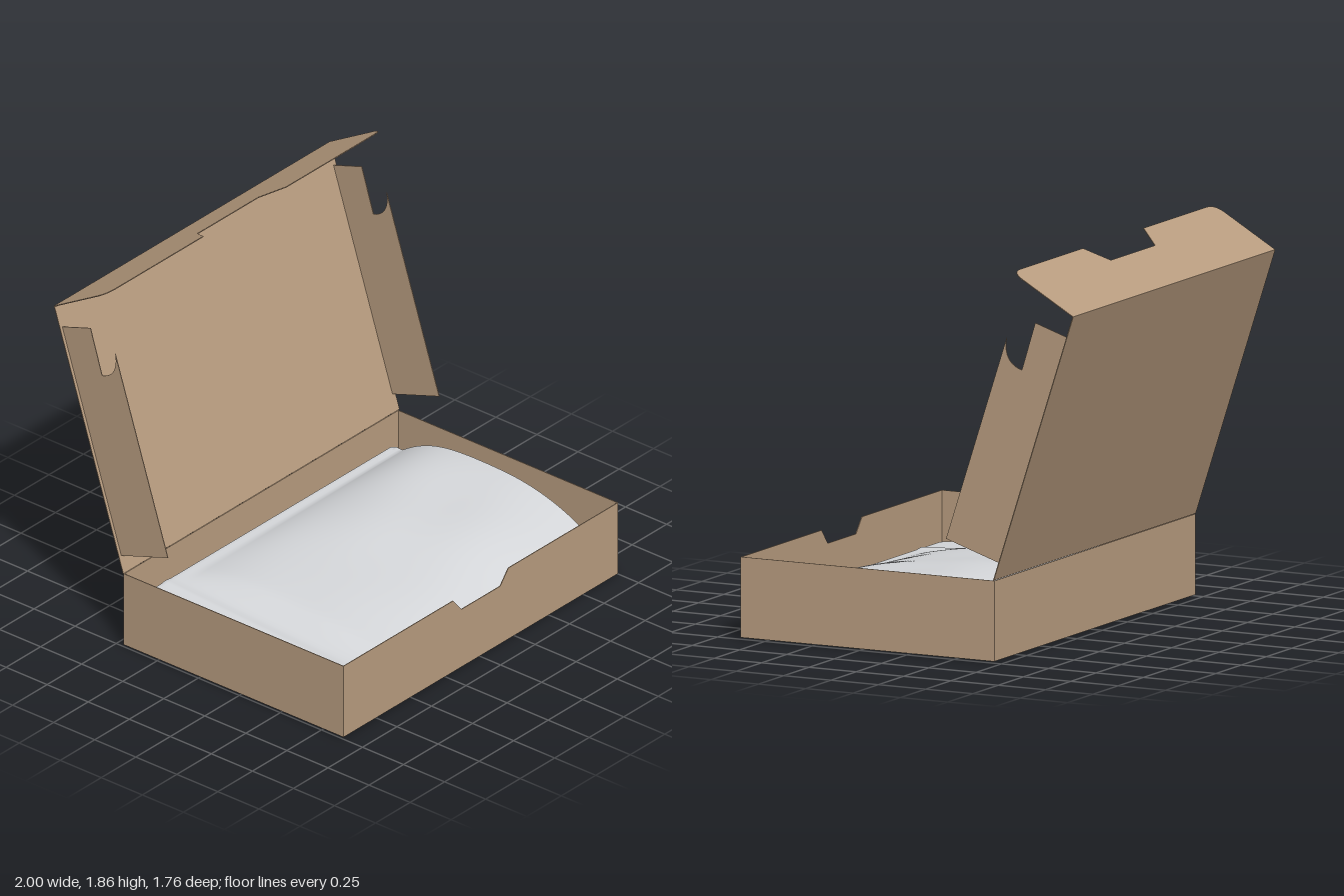
import * as THREE from 'three';

const cardboard = new THREE.MeshStandardMaterial({ name: 'cardboard', color: 0xb99d80 });
const foil = new THREE.MeshStandardMaterial({ name: 'silver film', color: 0xd4d6d9, side: THREE.DoubleSide });
const T = 0.004; // sheet thickness

function mesh(name, geometry, material = cardboard) {
  const m = new THREE.Mesh(geometry, material);
  m.name = name;
  return m;
}

function panel(name, w, h, d, x, y, z) {
  const m = mesh(name, new THREE.BoxGeometry(w, h, d));
  m.position.set(x, y, z);
  return m;
}

function sheet(name, shape) {
  return mesh(name, new THREE.ExtrudeGeometry(shape, { depth: T, bevelEnabled: false, curveSegments: 10 }));
}

const outline = (pts) => new THREE.Shape(pts.map(([x, y]) => new THREE.Vector2(x, y)));
const smooth = (x, a, b) => THREE.MathUtils.smoothstep(x, a, b);

// Open tray with a thumb notch in the front wall
function createTray() {
  const g = new THREE.Group();
  g.name = 'tray';
  g.add(panel('floor', 1.985, T, 1.335, 0, 0.017, 0.21));
  g.add(panel('backWall', 1.985, 0.382, T, 0, 0.206, -0.458));
  for (const s of [-1, 1]) {
    g.add(panel(s > 0 ? 'leftWall' : 'rightWall', T, 0.382, 1.34, s * 0.993, 0.206, 0.21));
  }
  const front = sheet('frontWall', outline([
    [-0.995, 0.015], [0.995, 0.015], [0.995, 0.397], [0.2, 0.397],
    [0.14, 0.325], [-0.14, 0.325], [-0.2, 0.397], [-0.995, 0.397],
  ]));
  front.position.z = 0.876;
  g.add(front);
  return g;
}

// Open lid leaning back, with side flaps and a tuck flap
function createLid() {
  const g = new THREE.Group();
  g.name = 'lid';
  g.position.set(0, 0.4, -0.458);
  g.rotation.x = -0.316;
  const L = 1.352;
  g.add(panel('lidPanel', 2, L, T, 0, L / 2, 0));

  // Side flaps: x is the distance out from the lid, y runs along it
  const side = new THREE.Shape();
  side.moveTo(0, 0.084);
  side.lineTo(0.3, 0.084);
  side.lineTo(0.3, 1.115);
  side.bezierCurveTo(0.29, 1.04, 0.25, 0.995, 0.178, 1.0);
  side.lineTo(0.182, 1.24);
  side.lineTo(0, 1.24);
  for (const s of [-1, 1]) {
    const flap = sheet(s > 0 ? 'leftLidFlap' : 'rightLidFlap', side);
    flap.rotation.y = -Math.PI / 2;
    flap.position.x = s * 0.982 + T / 2;
    g.add(flap);
  }

  // Tuck flap with rounded corners and a central cut-out
  const tuck = new THREE.Shape();
  tuck.moveTo(-1, 0);
  tuck.lineTo(1, 0);
  tuck.lineTo(1, 0.31);
  tuck.quadraticCurveTo(0.995, 0.37, 0.925, 0.37);
  tuck.lineTo(0.3, 0.37);
  tuck.lineTo(0.22, 0.25);
  tuck.lineTo(-0.22, 0.25);
  tuck.lineTo(-0.3, 0.37);
  tuck.lineTo(-0.925, 0.37);
  tuck.quadraticCurveTo(-0.995, 0.37, -1, 0.31);
  const flap = sheet('tuckFlap', tuck);
  flap.position.y = L;
  flap.rotation.x = 1.363;
  g.add(flap);
  return g;
}

// Surface through a list of closed rings of points
function loft(rings) {
  const n = rings[0].length, index = [];
  for (let i = 0; i < rings.length - 1; i++) {
    for (let k = 0; k < n; k++) {
      const a = i * n + k, b = i * n + (k + 1) % n;
      index.push(a, b, a + n, b, b + n, a + n);
    }
  }
  const geo = new THREE.BufferGeometry();
  geo.setAttribute('position', new THREE.Float32BufferAttribute(rings.flat(2), 3));
  geo.setIndex(index);
  geo.computeVertexNormals();
  return geo;
}

// Filled pouch: flat sealed rim, swelling toward the gusset at +x
function pouchRing(x, fullness = 1, endX = x) {
  const N = 64, top = [], bottom = [];
  const swell = fullness * (0.28 * smooth(x, -0.68, -0.5) + 0.72 * smooth(x, -0.9, 1.0) / smooth(0.93, -0.9, 1.0) * smooth(x, -0.68, -0.45));
  const zip = 0.006 * Math.exp(-(((x + 0.72) / 0.02) ** 2));
  const inset = 0.02 * smooth(Math.abs(x), 0.915, 0.935);
  for (let k = 0; k <= N; k++) {
    const z = 0.205 + (k / N - 0.5) * (1.28 - 2 * inset);
    const w = Math.min(1, Math.abs(z - 0.205) / 0.585);
    const p = swell * (1 - w ** 3);
    const seam = 0.215 - 0.06 * z;
    const dent = 0.006 * p * Math.sin(7 * x + 3 * z) * Math.cos(8 * z - 2 * x);
    top.push([endX, seam + 0.002 + 0.148 * p + dent + zip * fullness, z]);
    bottom.unshift([endX, seam - 0.002 - 0.187 * p, z]);
  }
  return [...top, ...bottom];
}

function createPouch() {
  const g = new THREE.Group();
  g.name = 'pouch';
  const rings = [];
  for (let i = 0; i <= 90; i++) rings.push(pouchRing(-0.935 + 1.865 * i / 90));
  g.add(mesh('pouchBody', loft(rings), foil));
  // Gusset folded inward at the full end
  g.add(mesh('pouchGusset', loft([pouchRing(0.93), pouchRing(0.93, 0.5, 0.86), pouchRing(0.93, 0, 0.78)]), foil));
  return g;
}

export function createModel() {
  const model = new THREE.Group();
  model.name = 'mailerBox';
  model.add(createTray(), createLid(), createPouch());
  return model;
}
